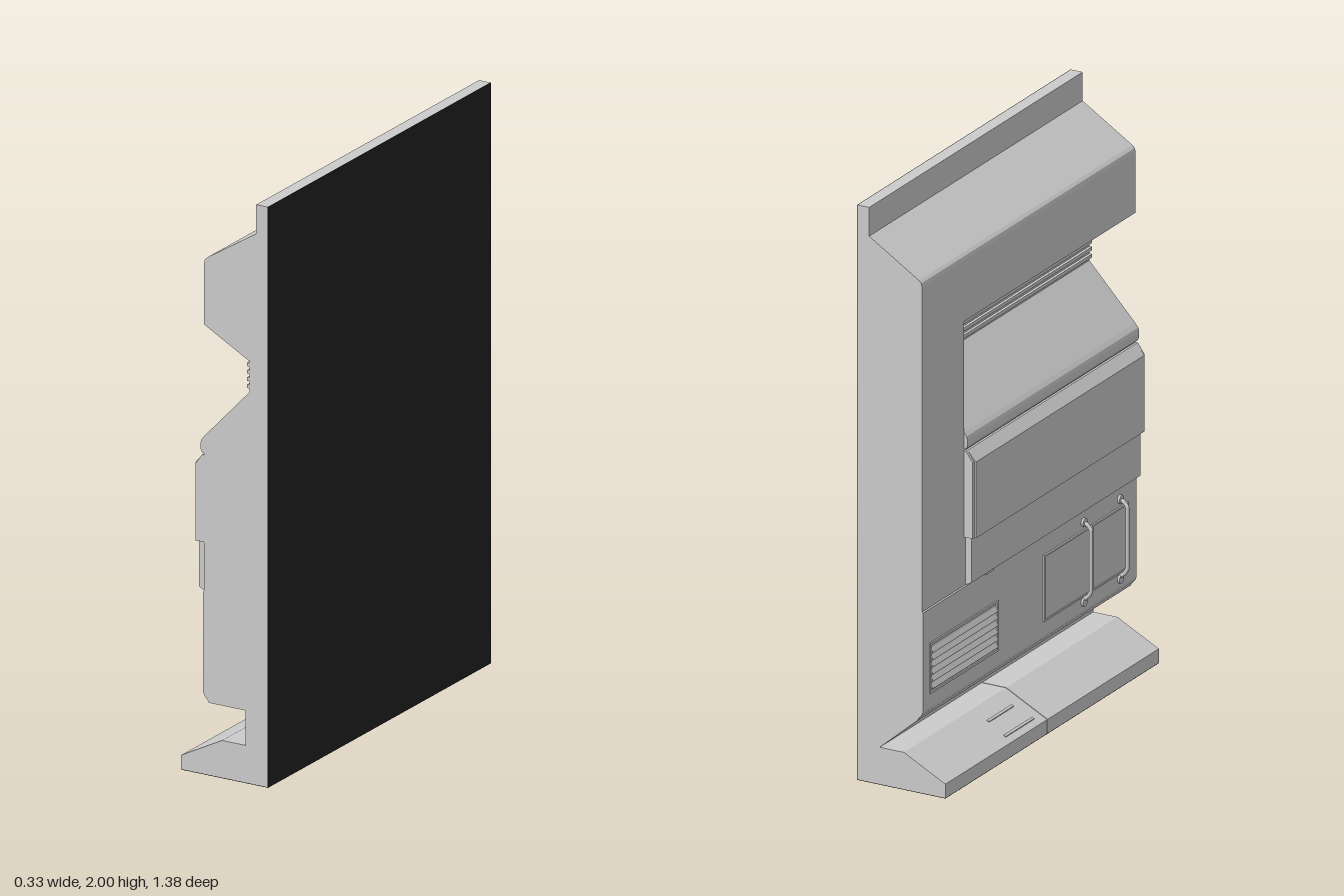
import * as THREE from 'three';

const grey = new THREE.MeshStandardMaterial({ color: 0xcccccc, flatShading: true });
const smooth = new THREE.MeshStandardMaterial({ color: 0xcccccc });
const dark = new THREE.MeshStandardMaterial({ color: 0x222222 });

const END = 0.69, COL = -0.42, BACK = 0.163, FACE = -0.078;

export function createModel() {
  const group = new THREE.Group();

  const add = (name, geometry, material = grey) => {
    const mesh = new THREE.Mesh(geometry, material);
    mesh.name = name;
    group.add(mesh);
    return mesh;
  };
  // Extrudes an x-y profile from z0 to z1
  const slab = (name, points, z0, z1) => {
    const shape = new THREE.Shape(points.map(([x, y]) => new THREE.Vector2(x, y)));
    const geo = new THREE.ExtrudeGeometry(shape, { depth: z1 - z0, bevelEnabled: false });
    return add(name, geo.translate(0, 0, z0));
  };
  const box = (name, x0, x1, y0, y1, z0, z1, material) =>
    add(name, new THREE.BoxGeometry(x1 - x0, y1 - y0, z1 - z0)
      .translate((x0 + x1) / 2, (y0 + y1) / 2, (z0 + z1) / 2), material);
  // Rectangular border lying on the wall face
  const frame = (name, y0, y1, z0, z1, w, x0, x1) => {
    box(name, x0, x1, y0, y0 + w, z0, z1);
    box(name, x0, x1, y1 - w, y1, z0, z1);
    box(name, x0, x1, y0 + w, y1 - w, z0, z0 + w);
    box(name, x0, x1, y0 + w, y1 - w, z1 - w, z1);
  };

  // Wall: solid column at one end, recessed bay along the rest
  const crown = [[BACK, 2], [0.12, 2], [0.12, 1.9], [-0.066, 1.783], [-0.075, 1.774], [FACE, 1.76]];
  const foot = [[FACE, 0.28], [-0.06, 0.25], [0.08, 0.25], [0.08, 0.13], [BACK, 0.13]];
  slab('column', [...crown, ...foot], -END, COL);
  slab('bayWall', [...crown, [FACE, 1.55], [0.095, 1.455], [0.095, 1.35], [FACE, 1.165], ...foot], COL, END);
  slab('endGusset', [[-0.06, 0.25], [0.08, 0.13], [0.08, 0.25]], -END, -END + 0.03);

  // Grille at the back of the recess
  for (let i = 0; i < 4; i++) {
    const y = 1.362 + i * 0.025;
    box('recessSlat', 0.085, 0.097, y, y + 0.012, COL, END);
  }

  // Rounded ledge, hanging cabinet and the band below it
  slab('ledge', [[FACE + 0.01, 1.165], [FACE, 1.165], [-0.088, 1.152], [-0.091, 1.14],
    [-0.091, 1.12], [-0.086, 1.108], [FACE + 0.01, 1.105]], COL, END);
  const cabinet = [[FACE + 0.01, 1.1], [-0.086, 1.1], [-0.117, 1.065], [-0.117, 0.8], [FACE + 0.01, 0.8]];
  slab('cabinet', cabinet, COL + 0.01, END - 0.01);
  const cheek = cabinet.map(([x, y]) => [x < -0.1 ? x + 0.006 : x, y]);
  slab('cabinetEnd', cheek, COL, COL + 0.01);
  slab('cabinetEnd', cheek, END - 0.01, END);
  slab('band', [[FACE + 0.01, 0.8], [-0.1, 0.8], [-0.1, 0.642], [FACE + 0.01, 0.625]], COL + 0.012, END - 0.005);

  // Lower panel with a small latch
  slab('lowerPanel', [[FACE + 0.01, 0.632], [FACE, 0.632], [-0.082, 0.628], [-0.082, 0.285],
    [-0.077, 0.272], [FACE + 0.01, 0.262]], -END, END);
  box('latch', -0.092, -0.07, 0.63, 0.65, -0.3, -0.25);

  // Ventilation louvre
  frame('ventFrame', 0.335, 0.51, -0.65, -0.21, 0.008, -0.087, -0.08);
  for (let i = 0; i < 6; i++) {
    const y = 0.35 + i * 0.025;
    slab('ventSlat', [[-0.081, y + 0.019], [-0.09, y + 0.002], [-0.09, y], [-0.081, y]], -0.64, -0.22);
  }

  // Two hatches, each with a bent tube handle
  for (const [z0, z1] of [[0.085, 0.385], [0.395, 0.63]]) {
    box('hatch', -0.085, -0.08, 0.335, 0.565, z0, z1);
    frame('hatchRim', 0.335, 0.565, z0, z1, 0.006, -0.088, -0.084);
  }
  for (const z of [0.345, 0.58]) {
    const path = new THREE.CurvePath();
    const p = [[-0.075, 0.592], [-0.098, 0.586], [-0.111, 0.57], [-0.111, 0.355], [-0.103, 0.34], [-0.075, 0.315]]
      .map(([x, y]) => new THREE.Vector3(x, y, z));
    for (let i = 0; i < p.length - 1; i++) path.add(new THREE.LineCurve3(p[i], p[i + 1]));
    add('handle', new THREE.TubeGeometry(path, 60, 0.007, 10), smooth);
    for (const y of [0.592, 0.315]) {
      const flange = add('handleFoot', new THREE.CylinderGeometry(0.015, 0.015, 0.008, 16));
      flange.rotation.z = Math.PI / 2;
      flange.position.set(-0.086, y, z);
    }
  }

  // Sloped base in two sections with a fine joint
  const base = [[BACK, 0.002], [BACK, 0.13], [-0.01, 0.13], [-0.165, 0.05], [-0.165, 0.002]];
  slab('base', base, -END, -0.032);
  slab('base', base, -0.029, END);

  // Thin ribs on the sloped top of the base
  const slope = x => 0.05 + (x + 0.165) * 0.08 / 0.155;
  for (const [x, z0, z1] of [[-0.138, -0.26, -0.075], [-0.07, -0.25, -0.09]]) {
    slab('baseRib', [[x - 0.004, slope(x - 0.004) - 0.002], [x + 0.004, slope(x + 0.004) - 0.002],
      [x + 0.004, slope(x + 0.004) + 0.003], [x - 0.004, slope(x - 0.004) + 0.003]], z0, z1);
  }

  // Dark rear and underside
  box('rearPlate', BACK, 0.165, 0, 2, -END, END, dark);
  box('underside', -0.165, BACK, 0, 0.002, -END, END, dark);
  return group;
}
